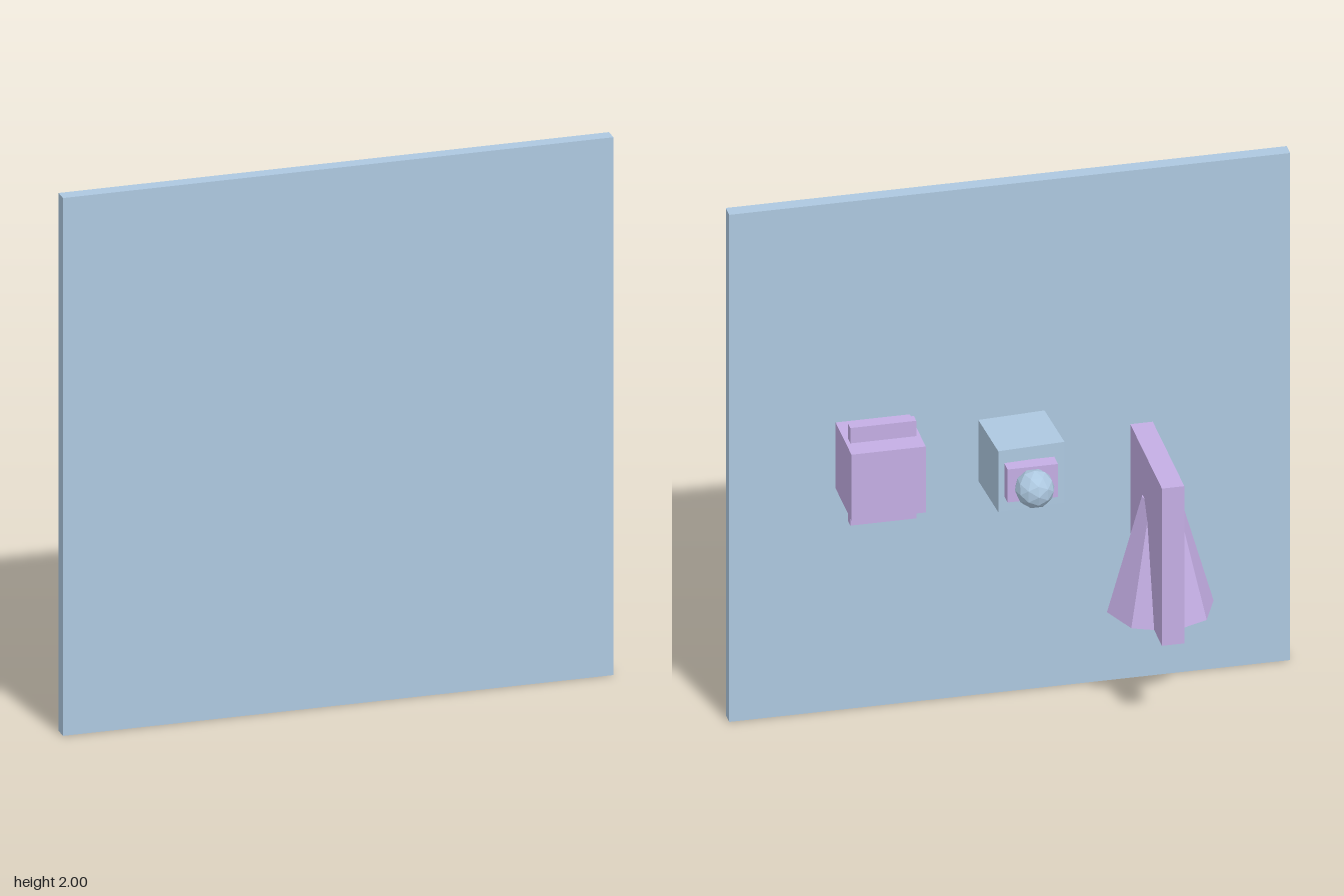
import * as THREE from 'three';

export function createModel() {
  const group = new THREE.Group();
  const blue = new THREE.MeshStandardMaterial({ color: 0xadc8e0, flatShading: true });
  const purple = new THREE.MeshStandardMaterial({ color: 0xc4aee4, flatShading: true });

  function add(name, geometry, material, x, y, z) {
    const mesh = new THREE.Mesh(geometry, material);
    mesh.name = name;
    mesh.position.set(x, y, z);
    group.add(mesh);
    return mesh;
  }
  const box = (w, h, d) => new THREE.BoxGeometry(w, h, d);

  // Large upright panel
  add('panel', box(2, 2, 0.052), blue, 0, 1, 0.242);

  // Upright fin with a tapered eight-sided cone through it
  add('fin', box(0.08, 0.62, 0.485), purple, -0.47, 0.69, -0.026);
  const cone = new THREE.CylinderGeometry(0.066, 0.19, 0.44, 8);
  add('taperedCone', cone, purple, -0.49, 0.6, 0.015);

  // Slightly turned cube carrying a small plate and a faceted ball
  add('middleCube', box(0.24, 0.24, 0.24), blue, 0, 1, 0.037).rotation.y = 0.065;
  add('smallPlate', box(0.18, 0.13, 0.055), purple, 0, 1.005, -0.11);
  add('ball', new THREE.IcosahedronGeometry(0.07, 1), blue, 0, 1, -0.167);

  // Block on the panel with a thin plate passing through it vertically
  add('sideBlock', box(0.265, 0.26, 0.243), purple, 0.488, 1.005, 0.095);
  add('thinPlate', box(0.235, 0.385, 0.036), purple, 0.488, 1.003, 0.073);

  return group;
}
